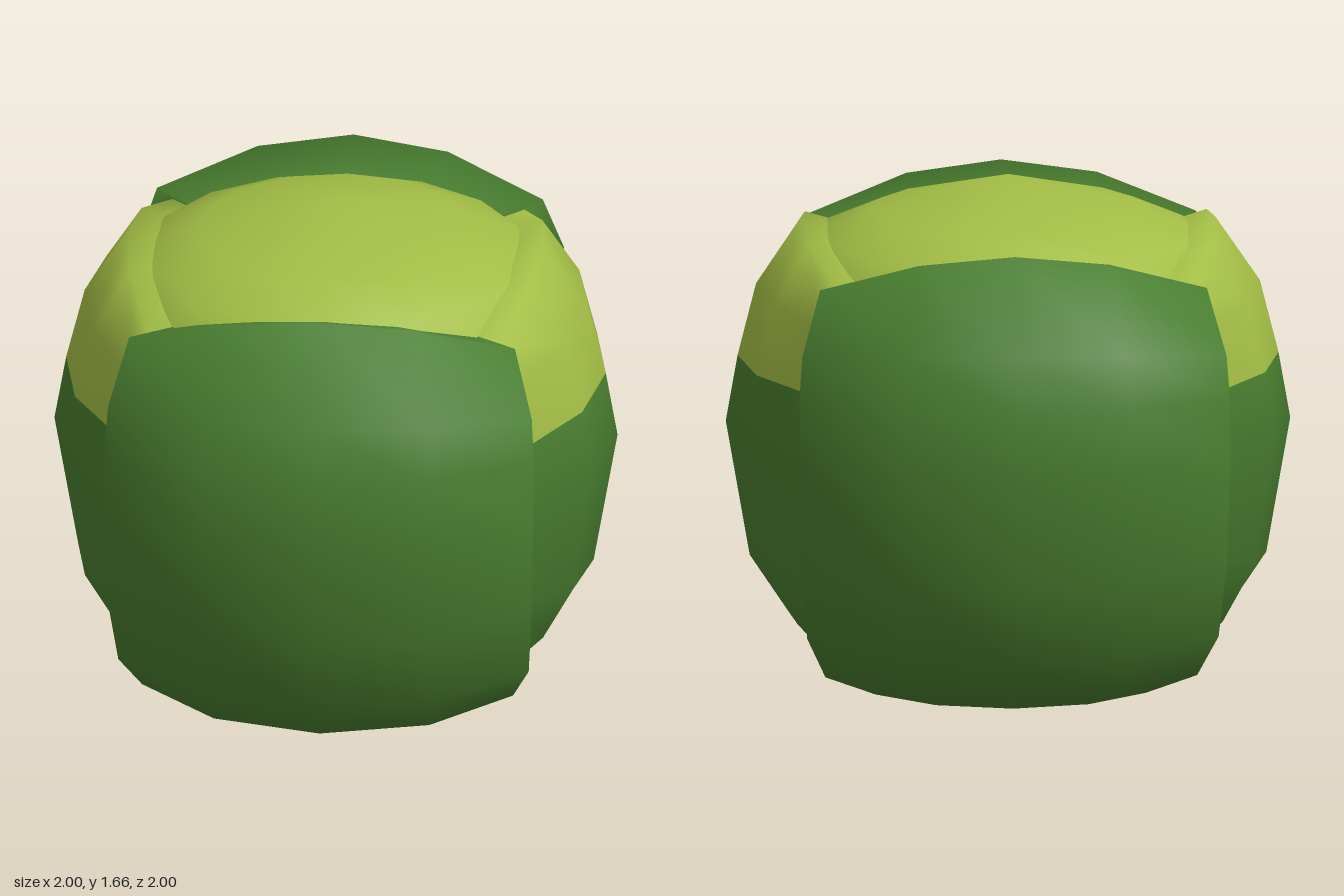
import * as THREE from 'three';

const RAD = Math.PI / 180;
const ACROSS = [-1, -0.5, 0, 0.5, 1];

// Rows from the curled-in rim down to the middle of the underside.
// outer / inner: [edge y, edge radius, middle y, middle radius]
// span: half width of the outer leaf in degrees; step: width of the side wall
const ROWS = [
  { outer: [1.40, 0.60, 1.48, 0.55], inner: [1.40, 0.55, 1.47, 0.50], span: 45, step: 0.5 },
  { outer: [1.42, 0.84, 1.555, 0.735], inner: [1.41, 0.76, 1.525, 0.65], span: 46.2, step: 0.5 },
  { outer: [1.22, 0.945, 1.27, 0.91], inner: [1.28, 0.825, 1.32, 0.79], span: 44.8, step: 2 },
  { outer: [1.09, 0.975, 1.09, 0.95], inner: [1.09, 0.875, 1.09, 0.848], span: 43.8, step: 4 },
  { outer: [0.88, 1.0, 0.88, 0.977], inner: [0.88, 0.905, 0.88, 0.885], span: 42.5, step: 4 },
  { outer: [0.55, 0.95, 0.52, 0.915], inner: [0.55, 0.86, 0.45, 0.81], span: 44.5, step: 3 },
  { outer: [0.29, 0.83, 0.25, 0.81], inner: [0.29, 0.745, 0.27, 0.69], span: 51, step: 2 },
  { outer: [0.13, 0.68, 0.13, 0.69], inner: [0.16, 0.61, 0.17, 0.60], span: 59, step: 1 },
  { outer: [0.06, 0.51, 0.06, 0.51], inner: [0.06, 0.51, 0.06, 0.51], span: 56, step: 2 },
  { outer: [0, 0, 0, 0], inner: [0, 0, 0, 0], span: 56, step: 2 },
];
const TIP_ROWS = 3; // bands of the inner leaves that are pale

// One closed skin: two outer leaves alternating with two inner ones,
// joined by the narrow side walls of the outer leaves
function leafSkin() {
  const pos = [];
  const addLeaf = ([ye, re, ym, rm], span, centre) => {
    for (const t of ACROSS) {
      const b = t * t;
      const r = rm + (re - rm) * b;
      const a = (centre + span * t) * RAD;
      pos.push(r * Math.sin(a), ym + (ye - ym) * b, r * Math.cos(a));
    }
  };
  for (const { outer, inner, span, step } of ROWS) {
    for (const turn of [0, 180]) {
      addLeaf(outer, span, 45 + turn);
      addLeaf(inner, 90 - span - step, 135 + turn);
    }
  }

  const n = ACROSS.length * 4;
  const pale = [], dark = [];
  for (let i = 0; i < ROWS.length - 1; i++) {
    for (let j = 0; j < n; j++) {
      const a = i * n + j, b = i * n + (j + 1) % n;
      const onInnerLeaf = j % 10 >= 5 && j % 10 < 9;
      const list = onInnerLeaf && i < TIP_ROWS ? pale : dark;
      list.push(a, a + n, b + n, a, b + n, b);
    }
  }
  const g = new THREE.BufferGeometry();
  g.setAttribute('position', new THREE.Float32BufferAttribute(pos, 3));
  g.setIndex([...pale, ...dark]);
  g.addGroup(0, pale.length, 0);
  g.addGroup(pale.length, dark.length, 1);
  g.computeVertexNormals();
  return g;
}

// Pale dome showing between the leaves, with a soft apex
function heartDome() {
  const profile = [[0.80, 1.12], [0.71, 1.36], [0.60, 1.48], [0.43, 1.555], [0, 1.665]];
  const g = new THREE.LatheGeometry(profile.map(([r, y]) => new THREE.Vector2(r, y)), 16);
  const { position, normal } = g.attributes;
  for (let i = 0; i < position.count; i++) {
    if (position.getY(i) > 1.66) normal.setXYZ(i, 0, 1, 0);
  }
  return g;
}

export function createModel() {
  const leafGreen = new THREE.MeshStandardMaterial({ color: 0x4a7f30, side: THREE.DoubleSide });
  leafGreen.name = 'leafGreen';
  const heartGreen = new THREE.MeshStandardMaterial({ color: 0xa3bd45, side: THREE.DoubleSide });
  heartGreen.name = 'heartGreen';

  const model = new THREE.Group();
  model.name = 'leafyHead';

  const heart = new THREE.Mesh(heartDome(), heartGreen);
  heart.name = 'heartDome';
  const leaves = new THREE.Mesh(leafSkin(), [heartGreen, leafGreen]);
  leaves.name = 'wrappingLeaves';
  model.add(heart, leaves);
  return model;
}
